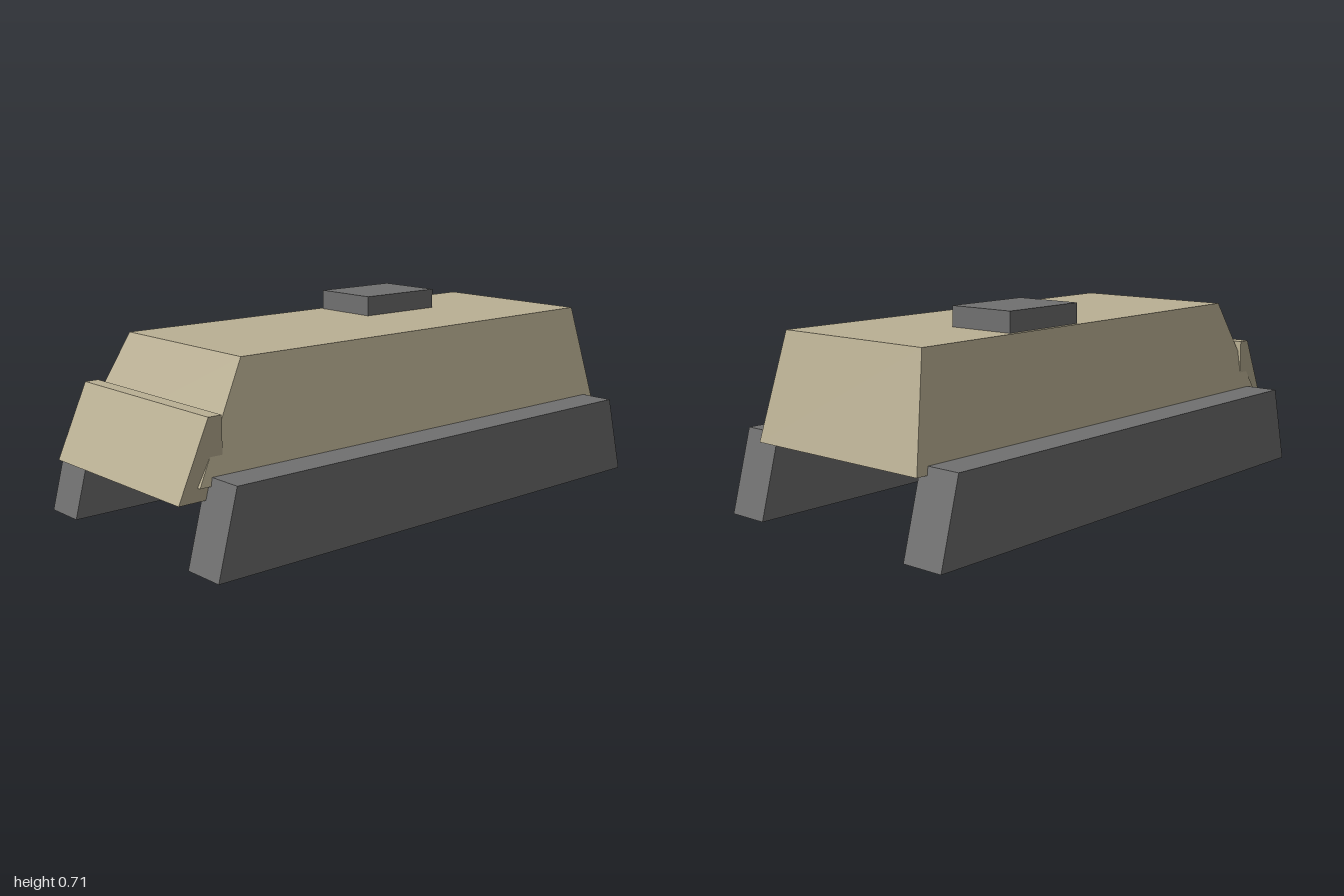
import * as THREE from 'three';

// Extrude a side profile of [z, y] points across x, centred on x = cx
function sideProfile(points, width, cx = 0) {
  const shape = new THREE.Shape(points.map(([z, y]) => new THREE.Vector2(z, y)));
  const geometry = new THREE.ExtrudeGeometry(shape, { depth: width, bevelEnabled: false });
  geometry.translate(0, 0, -width / 2);
  geometry.rotateY(-Math.PI / 2);
  geometry.translate(cx, 0, 0);
  return geometry;
}

// Box whose top and bottom rectangles differ: each is { y, x, back, front }
function taperedBox(bottom, top) {
  const geometry = new THREE.BoxGeometry(2, 2, 2);
  const p = geometry.attributes.position;
  for (let i = 0; i < p.count; i++) {
    const r = p.getY(i) > 0 ? top : bottom;
    p.setXYZ(i, p.getX(i) * r.x, r.y, p.getZ(i) > 0 ? r.front : r.back);
  }
  geometry.computeVertexNormals();
  return geometry;
}

export function createModel() {
  const model = new THREE.Group();
  model.name = 'armouredVehicle';

  const tan = new THREE.MeshStandardMaterial({ color: 0xbab094 });
  tan.name = 'sandTan';
  const grey = new THREE.MeshStandardMaterial({ color: 0x707070 });
  grey.name = 'darkGrey';

  const add = (name, geometry, material) => {
    const mesh = new THREE.Mesh(geometry, material);
    mesh.name = name;
    model.add(mesh);
    return mesh;
  };

  // Hull with sloping sides, nose and tail
  add('hull', taperedBox(
    { y: 0.262, x: 0.374, back: -0.972, front: 0.93 },
    { y: 0.635, x: 0.319, back: -0.89, front: 0.728 },
  ), tan);

  // Sloped plate across the nose
  add('frontPlate', sideProfile(
    [[0.835, 0.218], [1, 0.218], [0.885, 0.475], [0.835, 0.475]], 0.722,
  ), tan);

  // Track blocks
  for (const [name, side] of [['leftTrack', 1], ['rightTrack', -1]]) {
    add(name, sideProfile(
      [[-1, 0], [0.957, 0], [0.882, 0.289], [-0.922, 0.289]], 0.158, side * 0.418,
    ), grey);
  }

  // Roof hatch, right of centre
  add('roofHatch', new THREE.BoxGeometry(0.258, 0.082, 0.342), grey)
    .position.set(-0.175, 0.666, -0.311);

  return model;
}
